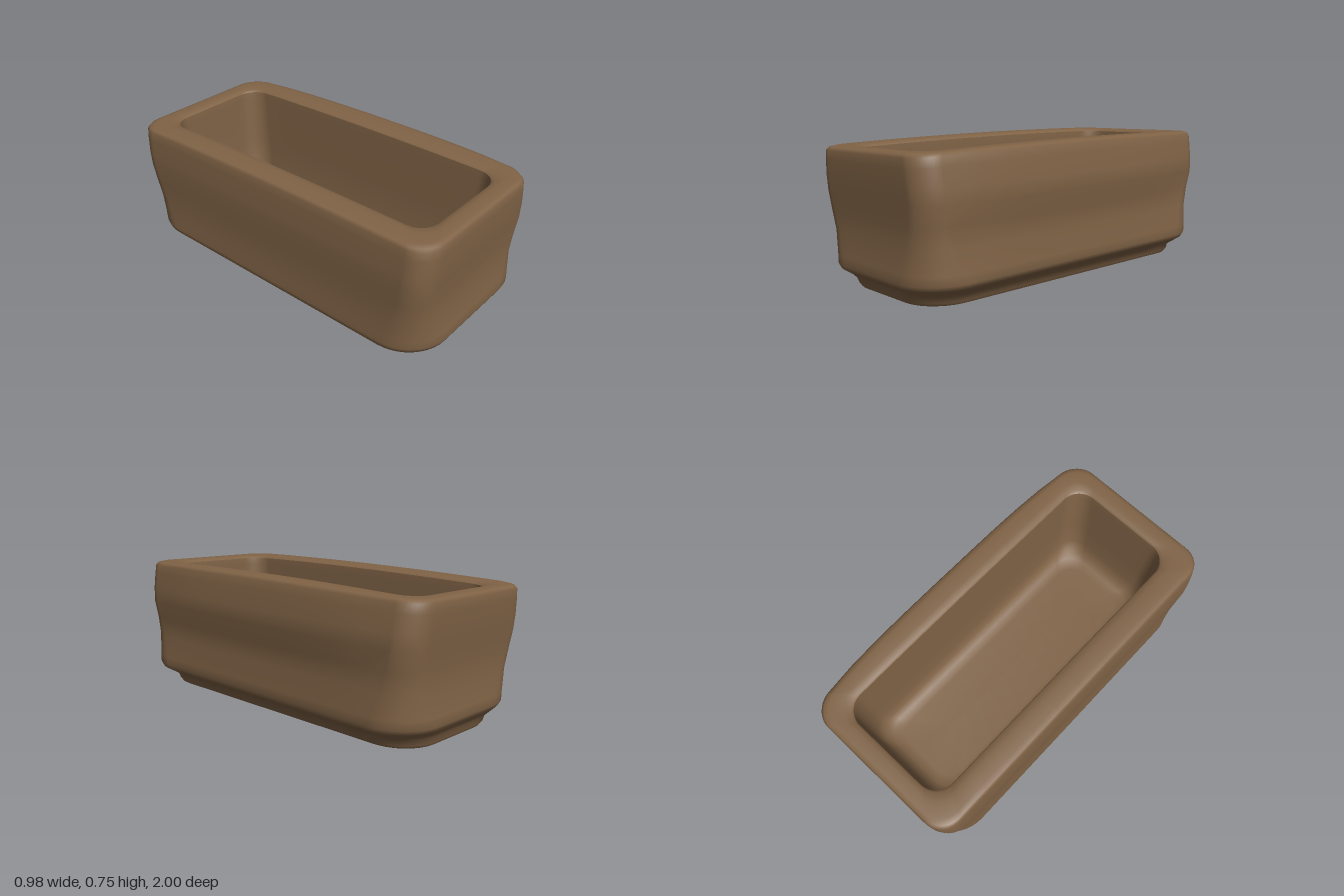
import * as THREE from 'three';

const CORNER = 10, EDGE = 10;

// Closed rounded-rectangle outline, with points spread along the edges too
function outline(x0, x1, z0, z1, r) {
  const corners = [[x1 - r, z1 - r], [x0 + r, z1 - r], [x0 + r, z0 + r], [x1 - r, z0 + r]];
  const pts = [];
  corners.forEach(([cx, cz], k) => {
    for (let i = 0; i <= CORNER; i++) {
      const a = (k + i / CORNER) * Math.PI / 2;
      pts.push([cx + r * Math.cos(a), cz + r * Math.sin(a)]);
    }
    const [nx, nz] = corners[(k + 1) % 4], a = (k + 1) * Math.PI / 2;
    const end = pts[pts.length - 1];
    const next = [nx + r * Math.cos(a), nz + r * Math.sin(a)];
    for (let i = 1; i < EDGE; i++) {
      const t = i / EDGE;
      pts.push([end[0] + (next[0] - end[0]) * t, end[1] + (next[1] - end[1]) * t]);
    }
  });
  return pts;
}

// Skins a list of sections [y, x0, x1, z0, z1, radius, side taper]
function loft(sections) {
  const pos = [], index = [];
  let n = 0;
  sections.forEach(([y, x0, x1, z0, z1, r, taper]) => {
    const pts = outline(x0, x1, z0, z1, r);
    n = pts.length;
    for (const [x, z] of pts) {
      // the left side bows in towards its ends; the whole body leans a little
      const bow = x > 0 ? taper * Math.pow(Math.abs(z), 4) * x / 0.48 : 0;
      const sag = y > 0.6 ? 0.015 * z * z : 0;
      pos.push(x - bow, y + 0.027 * x - sag, z);
    }
  });
  for (let s = 0; s < sections.length - 1; s++) {
    for (let i = 0; i < n; i++) {
      const a = s * n + i, b = s * n + (i + 1) % n;
      index.push(a, a + n, b, b, a + n, b + n);
    }
  }
  const g = new THREE.BufferGeometry();
  g.setAttribute('position', new THREE.Float32BufferAttribute(pos, 3));
  g.setIndex(index);
  g.computeVertexNormals();
  return g;
}

export function createModel() {
  const group = new THREE.Group();
  group.name = 'trough';
  const clay = new THREE.MeshStandardMaterial({ color: 0x806346 });
  clay.name = 'brown clay';

  const add = (name, sections) => {
    const mesh = new THREE.Mesh(loft(sections), clay);
    mesh.name = name;
    group.add(mesh);
  };

  // Flat underside
  add('underside', [
    [0.014, 0, 0, -0.6, 0.6, 0, 0],
    [0.014, -0.385, 0.37, -0.92, 0.91, 0.2, 0],
  ]);

  // Narrow foot, ledge, waisted walls and rounded rim
  add('outerWall', [
    [0.014, -0.385, 0.37, -0.92, 0.91, 0.2, 0],
    [0.03, -0.395, 0.38, -0.93, 0.92, 0.2, 0],
    [0.06, -0.41, 0.39, -0.935, 0.93, 0.21, 0],
    [0.085, -0.45, 0.425, -0.955, 0.95, 0.22, 0],
    [0.11, -0.483, 0.465, -0.975, 0.985, 0.23, 0],
    [0.135, -0.486, 0.474, -0.99, 0.997, 0.23, 0],
    [0.18, -0.482, 0.475, -0.985, 0.99, 0.21, 0.01],
    [0.3, -0.479, 0.461, -0.972, 0.976, 0.16, 0.02],
    [0.4, -0.485, 0.464, -0.975, 0.979, 0.13, 0.03],
    [0.5, -0.493, 0.491, -0.986, 0.988, 0.12, 0.05],
    [0.58, -0.493, 0.486, -0.994, 0.994, 0.12, 0.05],
    [0.68, -0.488, 0.472, -0.999, 0.997, 0.12, 0.05],
    [0.725, -0.484, 0.464, -1.0, 0.996, 0.12, 0.05],
    [0.74, -0.474, 0.452, -0.99, 0.986, 0.12, 0.05],
    [0.746, -0.45, 0.425, -0.97, 0.965, 0.12, 0.04],
    [0.746, -0.38, 0.355, -0.92, 0.915, 0.11, 0],
    [0.738, -0.345, 0.32, -0.892, 0.885, 0.11, 0],
    [0.728, -0.335, 0.31, -0.885, 0.875, 0.11, 0],
  ]);

  // Hollow with soft edges down to the floor
  add('basin', [
    [0.728, -0.335, 0.31, -0.885, 0.875, 0.11, 0],
    [0.69, -0.332, 0.308, -0.88, 0.87, 0.11, 0],
    [0.4, -0.325, 0.303, -0.865, 0.86, 0.12, 0],
    [0.24, -0.318, 0.297, -0.85, 0.85, 0.12, 0],
    [0.18, -0.3, 0.28, -0.825, 0.825, 0.12, 0],
    [0.15, -0.265, 0.245, -0.79, 0.79, 0.11, 0],
    [0.14, -0.21, 0.19, -0.74, 0.74, 0.1, 0],
    [0.14, 0, 0, -0.5, 0.5, 0, 0],
  ]);

  return group;
}
